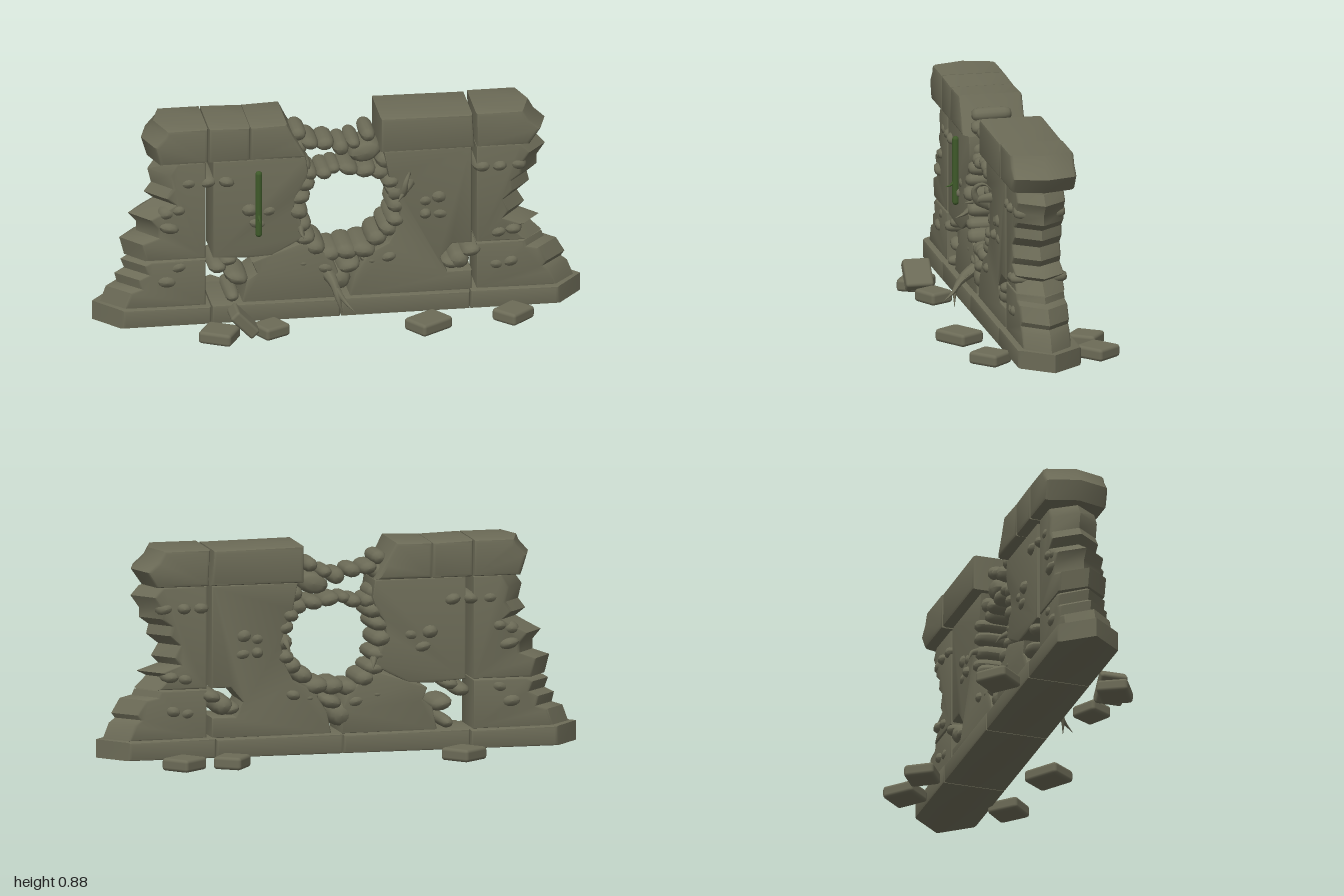
import * as THREE from 'three';
import { toCreasedNormals } from 'three/addons/utils/BufferGeometryUtils.js';
import { RoundedBoxGeometry } from 'three/addons/geometries/RoundedBoxGeometry.js';

const stone = new THREE.MeshStandardMaterial({ color: 0x6c6b57 });
stone.name = 'mossy stone';
const green = new THREE.MeshStandardMaterial({ color: 0x3f5a2a });
green.name = 'vine green';

export function createModel() {
  const model = new THREE.Group();
  model.name = 'ruinedWall';

  const add = (name, geometry, material = stone) => {
    const mesh = new THREE.Mesh(geometry, material);
    mesh.name = name;
    model.add(mesh);
    return mesh;
  };

  // Bevelled slab from a front outline; outer ends are drawn to a point at mid depth
  function block(name, pts, zBack, zFront, bevel, point = 0) {
    const shape = new THREE.Shape(pts.map(([x, y]) => new THREE.Vector2(x, y)));
    const depth = zFront - zBack;
    const g = new THREE.ExtrudeGeometry(shape, {
      depth: depth - 2 * bevel, steps: 2, bevelEnabled: true, bevelThickness: bevel,
      bevelSize: bevel, bevelOffset: -bevel, bevelSegments: 2,
    });
    g.translate(0, 0, zBack + bevel);
    const p = g.attributes.position, mid = (zBack + zFront) / 2;
    for (let i = 0; i < p.count; i++) {
      const x = p.getX(i);
      const weight = THREE.MathUtils.clamp((Math.abs(x) - 0.6) / 0.15, 0, 1);
      const out = Math.abs(p.getZ(i) - mid) / (depth / 2);
      p.setX(i, x - Math.sign(x) * point * weight * out);
    }
    return add(name, toCreasedNormals(g, 0.7));
  }

  // Base course
  const seams = [-1, -0.53, 0, 0.53, 1];
  for (let i = 0; i < 4; i++) {
    const a = seams[i] + (i ? 0.002 : 0), b = seams[i + 1] - (i < 3 ? 0.002 : 0);
    block('baseBlock', [[a, 0.03], [b, 0.03], [b, 0.105], [a, 0.11]], -0.14, 0.125, 0.01, 0.11);
  }

  // Wall panels, with crumbling outer edges and a broken opening in the middle
  const wall = (name, pts, point = 0) => block(name, pts, -0.1, 0.1, 0.008, point);
  wall('rightLowerWall', [[-0.55, 0.105], [-0.55, 0.305], [-0.86, 0.305], [-0.885, 0.29], [-0.87, 0.25],
    [-0.91, 0.23], [-0.9, 0.19], [-0.945, 0.175], [-0.97, 0.105]], 0.09);
  wall('rightUpperWall', [[-0.55, 0.31], [-0.55, 0.73], [-0.74, 0.73], [-0.775, 0.68], [-0.76, 0.62],
    [-0.79, 0.58], [-0.75, 0.55], [-0.8, 0.52], [-0.855, 0.49], [-0.82, 0.45], [-0.82, 0.41],
    [-0.89, 0.385], [-0.87, 0.31]], 0.08);
  wall('rightInnerWall', [[-0.52, 0.31], [-0.38, 0.3], [-0.28, 0.305], [-0.2, 0.345], [-0.14, 0.38],
    [-0.16, 0.45], [-0.19, 0.5], [-0.18, 0.56], [-0.15, 0.6], [-0.13, 0.66], [-0.14, 0.73], [-0.52, 0.73]]);
  wall('rightInnerFooting', [[-0.4, 0.105], [0, 0.105], [0, 0.2], [-0.03, 0.27], [-0.1, 0.33], [-0.16, 0.35],
    [-0.28, 0.31], [-0.36, 0.28], [-0.34, 0.23], [-0.38, 0.2]]);
  wall('leftInnerWall', [[0.04, 0.105], [0.54, 0.105], [0.54, 0.19], [0.44, 0.19], [0.41, 0.25], [0.46, 0.31],
    [0.54, 0.31], [0.54, 0.73], [0.18, 0.73], [0.2, 0.62], [0.23, 0.56], [0.25, 0.48], [0.235, 0.4],
    [0.2, 0.33], [0.12, 0.29], [0.06, 0.2]]);
  wall('leftLowerWall', [[0.56, 0.105], [0.97, 0.105], [0.945, 0.17], [0.92, 0.19], [0.935, 0.21], [0.9, 0.27],
    [0.85, 0.28], [0.84, 0.305], [0.56, 0.305]], 0.09);
  wall('leftUpperWall', [[0.56, 0.31], [0.84, 0.31], [0.79, 0.36], [0.83, 0.38], [0.74, 0.41], [0.77, 0.44],
    [0.74, 0.49], [0.79, 0.53], [0.78, 0.57], [0.82, 0.6], [0.82, 0.64], [0.855, 0.69], [0.82, 0.73],
    [0.56, 0.73]], 0.08);

  // Cap stones
  const cap = (pts) => block('capStone', pts, -0.14, 0.125, 0.014, 0.04);
  cap([[-0.545, 0.735], [-0.545, 0.885], [-0.75, 0.885], [-0.76, 0.86], [-0.8, 0.815], [-0.775, 0.735]]);
  cap([[-0.54, 0.735], [-0.372, 0.735], [-0.372, 0.88], [-0.54, 0.885]]);
  cap([[-0.37, 0.735], [-0.14, 0.735], [-0.175, 0.8], [-0.19, 0.825], [-0.22, 0.885], [-0.37, 0.88]]);
  cap([[0.165, 0.735], [0.55, 0.735], [0.54, 0.88], [0.165, 0.885]]);
  cap([[0.56, 0.735], [0.81, 0.735], [0.855, 0.8], [0.81, 0.84], [0.785, 0.885], [0.555, 0.885]]);

  // Rounded stones that run through the wall: centre x, y, half width, half height
  const pebble = new THREE.SphereGeometry(1, 12, 8).rotateX(Math.PI / 2);
  const pp = pebble.attributes.position;
  for (let i = 0; i < pp.count; i++) {
    const z = pp.getZ(i), r = Math.hypot(pp.getX(i), pp.getY(i));
    const s = r > 1e-4 ? Math.pow(r, -0.4) : 0;
    pp.setXYZ(i, pp.getX(i) * s, pp.getY(i) * s, Math.sign(z) * Math.sqrt(Math.abs(z)));
  }
  pebble.computeVertexNormals();
  const through = (name, list, halfDepth) => list.forEach(([x, y, w, h], i) => {
    const mesh = add(name, pebble);
    mesh.position.set(x, y, 0);
    mesh.scale.set(w, h, halfDepth + 0.006 * (i % 3 - 1));
    mesh.rotation.z = 0.25 * Math.sin(i * 2.3);
  });

  through('wallStone', [
    [-0.62, 0.64, 0.042, 0.03], [-0.54, 0.64, 0.04, 0.027], [-0.465, 0.64, 0.04, 0.028],
    [-0.71, 0.51, 0.04, 0.03], [-0.66, 0.525, 0.035, 0.028], [-0.7, 0.45, 0.05, 0.028],
    [-0.66, 0.275, 0.045, 0.03], [-0.71, 0.215, 0.05, 0.032],
    [-0.37, 0.51, 0.04, 0.033], [-0.29, 0.5, 0.04, 0.03], [-0.34, 0.45, 0.045, 0.028],
    [-0.5, 0.265, 0.04, 0.028], [-0.455, 0.29, 0.04, 0.025], [-0.42, 0.21, 0.05, 0.03], [-0.44, 0.135, 0.03, 0.025],
    [0.35, 0.505, 0.038, 0.032], [0.405, 0.52, 0.04, 0.035], [0.35, 0.45, 0.03, 0.028], [0.41, 0.445, 0.045, 0.03],
    [0.49, 0.235, 0.045, 0.042], [0.54, 0.275, 0.045, 0.028], [0.455, 0.22, 0.04, 0.025],
    [0.585, 0.64, 0.04, 0.03], [0.655, 0.64, 0.035, 0.027], [0.73, 0.64, 0.042, 0.03],
    [0.65, 0.35, 0.04, 0.028], [0.71, 0.36, 0.04, 0.027], [0.64, 0.21, 0.04, 0.03], [0.7, 0.22, 0.04, 0.03],
  ], 0.113);

  // Stones ringing the opening and bridging it above
  through('openingStone', [
    [-0.14, 0.6, 0.045, 0.033], [-0.16, 0.545, 0.045, 0.03], [-0.17, 0.485, 0.045, 0.034],
    [-0.16, 0.42, 0.05, 0.033], [-0.14, 0.365, 0.045, 0.03], [-0.1, 0.325, 0.045, 0.035],
    [-0.04, 0.285, 0.05, 0.035], [0.03, 0.295, 0.05, 0.035], [0.1, 0.3, 0.055, 0.035],
    [0.155, 0.345, 0.045, 0.035], [0.2, 0.385, 0.04, 0.034], [0.23, 0.425, 0.04, 0.03],
    [0.235, 0.485, 0.04, 0.035], [0.23, 0.545, 0.04, 0.03], [0.21, 0.595, 0.04, 0.03],
    [-0.15, 0.26, 0.045, 0.025], [-0.06, 0.235, 0.045, 0.03], [0.04, 0.235, 0.05, 0.03],
    [0.13, 0.255, 0.045, 0.028], [0, 0.18, 0.05, 0.05], [0.2, 0.27, 0.04, 0.028],
  ], 0.108);
  through('archStone', [
    [-0.165, 0.815, 0.035, 0.03], [-0.17, 0.755, 0.045, 0.035], [-0.12, 0.775, 0.04, 0.028],
    [-0.055, 0.765, 0.04, 0.03], [0.01, 0.745, 0.035, 0.035], [0.06, 0.765, 0.03, 0.025],
    [0.11, 0.72, 0.07, 0.046], [0.12, 0.795, 0.032, 0.03], [0.19, 0.68, 0.04, 0.035],
    [-0.15, 0.67, 0.04, 0.035], [-0.12, 0.64, 0.035, 0.03], [-0.06, 0.64, 0.035, 0.028],
    [-0.02, 0.655, 0.03, 0.024], [0.04, 0.65, 0.045, 0.028], [0.11, 0.64, 0.045, 0.03], [0.17, 0.625, 0.04, 0.032],
  ], 0.088);

  // Fallen slabs: x, z, width, depth, turn
  [[-0.475, -0.25, 0.14, 0.135, 0.7], [0.49, -0.245, 0.12, 0.125, -0.6], [0.69, -0.25, 0.14, 0.13, 0.7],
    [-0.515, 0.235, 0.14, 0.13, -0.5], [-0.3, 0.21, 0.12, 0.11, 0.5], [0.34, 0.245, 0.16, 0.125, 0.6],
    [0.695, 0.195, 0.135, 0.12, 0.75],
  ].forEach(([x, z, w, d, turn]) => {
    const slab = add('fallenSlab', new RoundedBoxGeometry(w, 0.052, d, 2, 0.014));
    slab.position.set(x, 0.031, z);
    slab.rotation.y = turn;
  });
  const leaning = add('leaningSlab', new RoundedBoxGeometry(0.13, 0.05, 0.115, 2, 0.012));
  leaning.position.set(-0.42, 0.09, 0.25);
  leaning.rotation.z = -0.8;

  // Tapering roots
  function root(name, pts, radius, material = stone) {
    const n = 14, sides = 7;
    const curve = new THREE.CatmullRomCurve3(pts.map((p) => new THREE.Vector3(...p)));
    const g = new THREE.TubeGeometry(curve, n, radius, sides);
    const p = g.attributes.position, v = new THREE.Vector3();
    for (let i = 0; i < p.count; i++) {
      const t = Math.floor(i / (sides + 1)) / n;
      const c = curve.getPointAt(t);
      v.fromBufferAttribute(p, i).sub(c).multiplyScalar(1.02 - t).add(c);
      p.setXYZ(i, v.x, v.y, v.z);
    }
    g.computeVertexNormals();
    add(name, g, material);
  }
  root('bigRoot', [[-0.05, 0.21, 0.08], [-0.03, 0.18, 0.14], [-0.02, 0.13, 0.18], [0, 0.06, 0.19]], 0.028);
  root('bigRoot', [[-0.04, 0.2, 0.1], [-0.02, 0.16, 0.16], [0.01, 0.12, 0.2], [0.04, 0.095, 0.245]], 0.024);
  root('upperRoot', [[0.22, 0.54, 0.09], [0.25, 0.57, 0.15], [0.26, 0.62, 0.165], [0.28, 0.645, 0.13], [0.29, 0.62, 0.1]], 0.026);
  root('upperRoot', [[0.29, 0.59, 0.08], [0.27, 0.58, 0.13], [0.24, 0.56, 0.17], [0.22, 0.55, 0.205]], 0.024);
  root('frontThorn', [[-0.02, 0.42, 0.09], [-0.02, 0.4, 0.12], [-0.01, 0.39, 0.155]].map(([x, y, z]) => [x - 0.14, y, z]), 0.014);
  root('backThorn', [[0.23, 0.49, -0.08], [0.23, 0.48, -0.12], [0.22, 0.44, -0.14]], 0.018);
  root('backThorn', [[-0.14, 0.41, -0.08], [-0.13, 0.39, -0.12], [-0.12, 0.365, -0.14]], 0.018);

  // Green vine
  const vine = add('vine', new THREE.CapsuleGeometry(0.014, 0.26, 4, 10), green);
  vine.position.set(-0.335, 0.54, 0.111);
  root('vineThorn', [[-0.335, 0.5, 0.11], [-0.335, 0.48, 0.13], [-0.335, 0.472, 0.155]], 0.01, green);

  return model;
}
